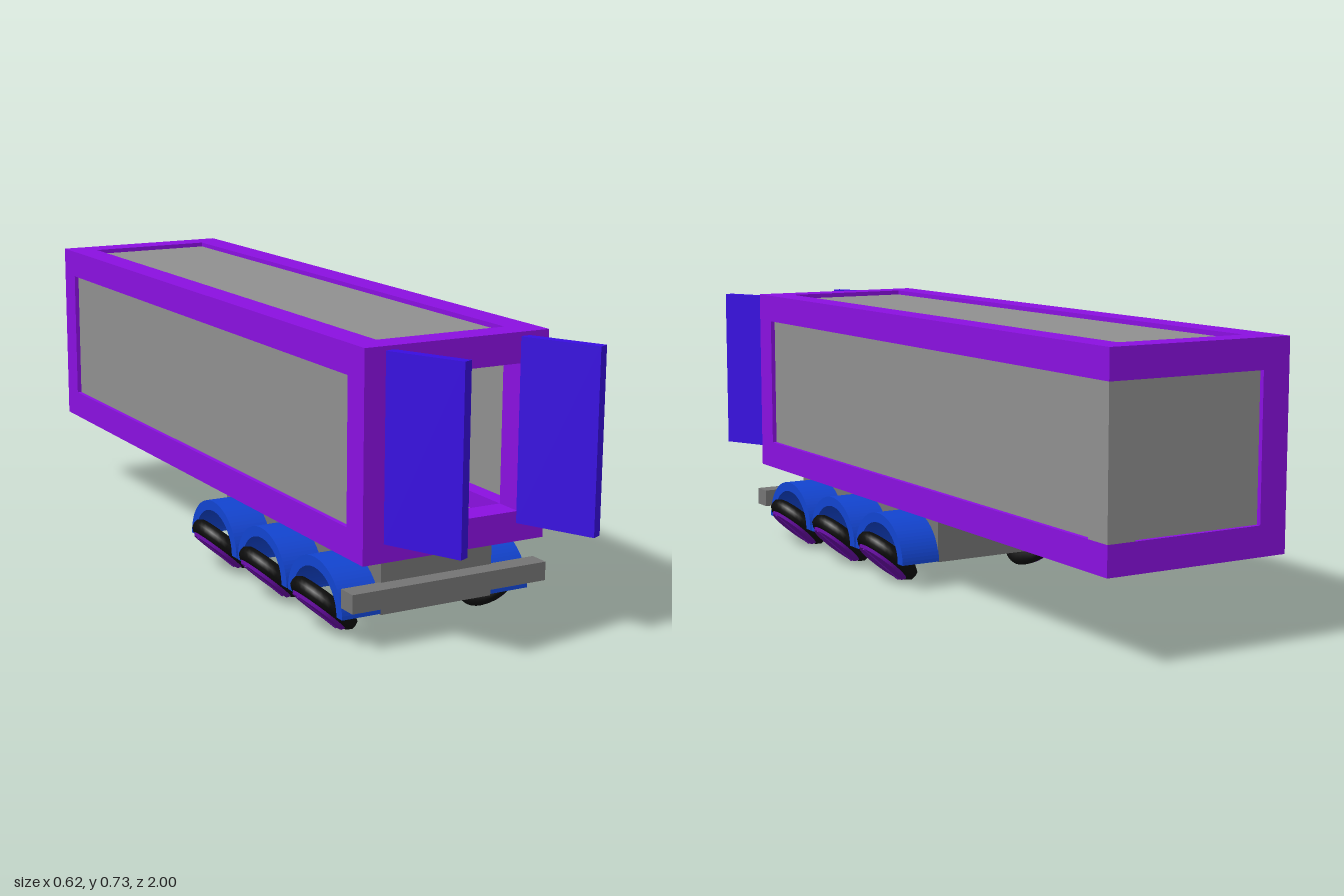
import * as THREE from 'three';

const mat = (color) => new THREE.MeshStandardMaterial({ color });
const purple = mat(0x8a10e0), blue = mat(0x1244d0), doorBlue = mat(0x380de0);
const panelGrey = mat(0x909090), chassisGrey = mat(0x747474);
const black = mat(0x0c0c0c), hubPurple = mat(0x6a0ca8);

// Box given by its min and max corners
function box(parent, name, material, [x0, y0, z0], [x1, y1, z1]) {
  const mesh = new THREE.Mesh(new THREE.BoxGeometry(x1 - x0, y1 - y0, z1 - z0), material);
  mesh.position.set((x0 + x1) / 2, (y0 + y1) / 2, (z0 + z1) / 2);
  mesh.name = name;
  parent.add(mesh);
  return mesh;
}

// Hollow container: beam frame with inset panels, open at the front
function createContainer() {
  const g = new THREE.Group();
  g.name = 'container';
  const X0 = -0.245, X1 = 0.258, Y0 = 0.22, Y1 = 0.73, Z0 = -1, Z1 = 0.807;
  const B = 0.075, inset = 0.012, t = 0.02;
  const a = inset, b = inset + t;

  for (const [y0, y1] of [[Y0, Y0 + B], [Y1 - B, Y1]]) {
    for (const x of [X0, X1 - B]) box(g, 'longBeam', purple, [x, y0, Z0], [x + B, y1, Z1]);
    for (const z of [Z0, Z1 - B]) box(g, 'crossBeam', purple, [X0 + B, y0, z], [X1 - B, y1, z + B]);
  }
  for (const x of [X0, X1 - B]) {
    for (const z of [Z0, Z1 - B]) {
      const plain = x > 0 && z < 0; // one rear post is unpainted
      box(g, 'cornerPost', plain ? panelGrey : purple, [x, Y0 + B, z], [x + B, Y1 - B, z + B]);
    }
  }

  const yi = Y0 + B, ya = Y1 - B, zi = Z0 + B, za = Z1 - B, xi = X0 + B, xa = X1 - B;
  box(g, 'leftPanel', panelGrey, [X1 - b, yi, zi], [X1 - a, ya, za]);
  box(g, 'rightPanel', panelGrey, [X0 + a, yi, zi], [X0 + b, ya, za]);
  box(g, 'backPanel', panelGrey, [xi, yi, Z0 + a], [xa, ya, Z0 + b]);
  box(g, 'roofPanel', panelGrey, [xi, Y1 - b, zi], [xa, Y1 - a, za]);
  box(g, 'floorPanel', panelGrey, [xi, Y0 + a, zi], [xa, Y0 + b, za]);
  return g;
}

// Half-ring mudguard arching over a wheel, extruded along x
function createMudguard() {
  const shape = new THREE.Shape();
  shape.absellipse(0, 0, 0.134, 0.119, 0, Math.PI, false);
  shape.absellipse(0, 0, 0.107, 0.093, Math.PI, 0, true);
  const geo = new THREE.ExtrudeGeometry(shape, { depth: 0.11, bevelEnabled: false, curveSegments: 20 });
  geo.rotateY(Math.PI / 2);
  const mesh = new THREE.Mesh(geo, blue);
  mesh.name = 'mudguard';
  return mesh;
}

// Chamfered tyre with a domed cap and cross bar; axle along +y
function createWheel() {
  const g = new THREE.Group();
  g.name = 'wheel';
  const ring = [[0, -0.02], [0.08, -0.02], [0.092, -0.011], [0.094, 0], [0.092, 0.011], [0.082, 0.02], [0, 0.02]];
  const tyre = new THREE.Mesh(
    new THREE.LatheGeometry(ring.map(([r, y]) => new THREE.Vector2(r, y)), 32), black);
  tyre.name = 'tyre';
  const cap = new THREE.Mesh(new THREE.CylinderGeometry(0.072, 0.079, 0.01, 32), hubPurple);
  cap.name = 'hubCap';
  cap.position.y = 0.023;
  g.add(tyre, cap);
  box(g, 'hubBar', hubPurple, [-0.07, 0.026, -0.004], [0.07, 0.031, 0.004]);
  return g;
}

export function createModel() {
  const model = new THREE.Group();
  model.name = 'containerTrailer';
  model.add(createContainer());

  // Open doors, both swung the same way
  for (const x of [-0.1355, 0.2325]) {
    const door = box(model, 'door', doorBlue, [-0.0137, 0.267, -0.104], [0.0137, 0.72, 0.104]);
    door.position.x = x;
    door.position.z = 0.9;
    door.rotation.y = THREE.MathUtils.degToRad(25);
  }

  // Chassis and bumper
  box(model, 'chassis', chassisGrey, [-0.158, 0.07, -0.07], [0.153, 0.225, 0.745]);
  box(model, 'bumper', chassisGrey, [-0.263, 0.103, 0.74], [0.28, 0.15, 0.793]);

  // Three axles of mudguards and strongly tilted wheels
  const tilt = THREE.MathUtils.degToRad(48);
  for (const z of [0.61, 0.335, 0.06]) {
    for (const side of [-1, 1]) {
      const guard = createMudguard();
      guard.position.set(side > 0 ? 0.152 : -0.262, 0.073, z);
      const wheel = createWheel();
      wheel.position.set(side * 0.236, 0.0735, z);
      wheel.rotation.z = -side * (Math.PI / 2 + tilt);
      model.add(guard, wheel);
    }
  }
  return model;
}
